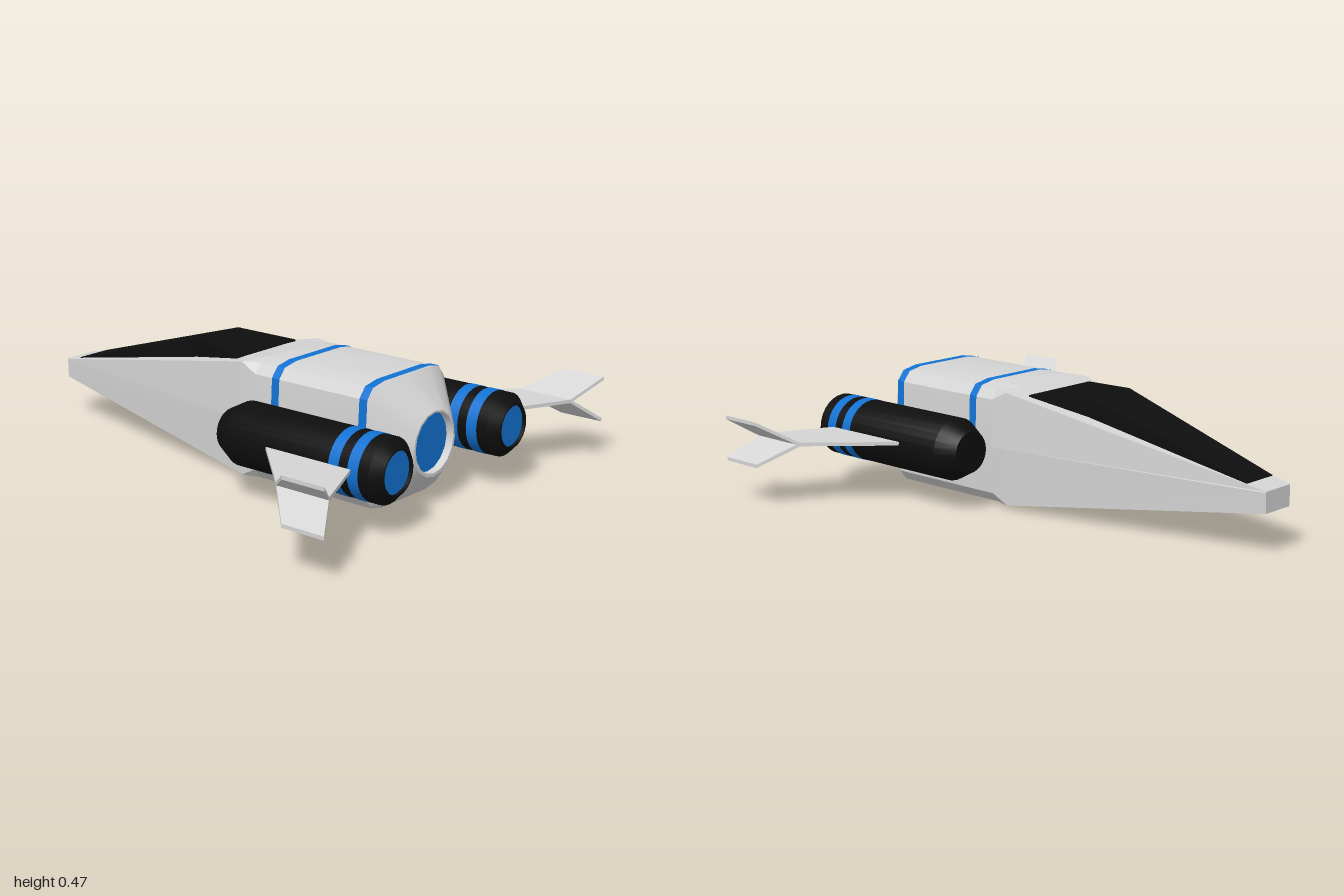
import * as THREE from 'three';
import { toCreasedNormals } from 'three/addons/utils/BufferGeometryUtils.js';

const paint = (name, color) => Object.assign(new THREE.MeshStandardMaterial({ color }), { name });

// Skin a row of cross-sections (arrays of Vector3); faces stay flat.
function loft(sections, { closed = true, capStart = false, capEnd = false, flip = false } = {}) {
  const pos = [];
  const tri = (a, b, c) => {
    const area = b.clone().sub(a).cross(c.clone().sub(a)).length();
    if (area < 1e-7) return;
    for (const p of flip ? [a, c, b] : [a, b, c]) pos.push(p.x, p.y, p.z);
  };
  const n = sections[0].length;
  for (let s = 0; s < sections.length - 1; s++) {
    const a = sections[s], b = sections[s + 1];
    for (let i = 0; i < (closed ? n : n - 1); i++) {
      const j = (i + 1) % n;
      tri(a[i], a[j], b[i]);
      tri(a[j], b[j], b[i]);
    }
  }
  const first = sections[0], last = sections[sections.length - 1];
  for (let i = 1; i < n - 1; i++) {
    if (capStart) tri(first[0], first[i + 1], first[i]);
    if (capEnd) tri(last[0], last[i], last[i + 1]);
  }
  const g = new THREE.BufferGeometry();
  g.setAttribute('position', new THREE.Float32BufferAttribute(pos, 3));
  g.computeVertexNormals();
  return g;
}

// Half profile [z, y] from top centre to bottom centre, mirrored into a loop at x.
function ring(x, half) {
  const other = half.slice(1, -1).reverse().map(([z, y]) => [-z, y]);
  return [...half, ...other].map(([z, y]) => new THREE.Vector3(x, y, z));
}
const circle = (r, cy) => Array.from({ length: 9 }, (_, i) => {
  const a = (i * Math.PI) / 8;
  return [r * Math.sin(a), cy + r * Math.cos(a)];
});

export function createModel() {
  const model = new THREE.Group();
  const grey = paint('light grey hull', 0xd4d4d4);
  const black = paint('black', 0x0e0e0e);
  const blue = paint('blue', 0x1272d2);
  const add = (name, geometry, material, parent = model) => {
    const m = new THREE.Mesh(geometry, material);
    m.name = name;
    parent.add(m);
    return m;
  };

  // Hull profiles
  const nose = [[0, 0.24], [0.04, 0.24], [0.07, 0.24], [0.07, 0.24], [0.072, 0.236],
    [0.07, 0.16], [0.07, 0.16], [0.04, 0.16], [0, 0.16]];
  const square = [[0, 0.458], [0.13, 0.458], [0.222, 0.455], [0.222, 0.455], [0.232, 0.238],
    [0.222, 0.016], [0.222, 0.016], [0.13, 0.013], [0, 0.013]];
  const round = [[0, 0.47], [0.13, 0.47], [0.195, 0.458], [0.226, 0.42], [0.235, 0.237],
    [0.226, 0.052], [0.195, 0.013], [0.13, 0], [0, 0]];

  add('noseHull', loft([ring(-1, nose), ring(0.1, square), ring(0.17, round)], { capStart: true }), grey);
  add('rearHull', toCreasedNormals(loft([
    ring(0.17, round), ring(0.69, round), ring(0.82, circle(0.124, 0.235)),
    ring(0.82, circle(0.114, 0.238)), ring(0.785, circle(0.114, 0.238)),
  ]), 0.6), grey);

  // Main exhaust, set back inside its rim
  const exhaust = add('mainExhaust', new THREE.CircleGeometry(0.115, 32).rotateY(Math.PI / 2), blue);
  exhaust.position.set(0.79, 0.238, 0);

  // Blue bands over the upper half of the hull
  const upper = round.slice(0, 5);
  const arch = [...upper.slice(1).reverse().map(([z, y]) => [-z, y]), ...upper];
  for (const [x0, x1] of [[0.252, 0.287], [0.655, 0.69]]) {
    const strip = (x) => arch.map(([z, y]) => new THREE.Vector3(x, 0.235 + (y - 0.235) * 1.01, z * 1.01));
    add('hullBand', toCreasedNormals(loft([strip(x0), strip(x1)], { closed: false }), 0.6), blue);
  }

  // Cockpit canopy: long windscreen, ridge, short rear slope
  const canopy = [[-0.92, 0.075, 0.245, 0.259], [-0.22, 0.118, 0.385, 0.466], [0.03, 0.17, 0.425, 0.449]]
    .map(([x, w, y0, y1]) => ring(x, [[0, y1], [w, y1], [w, y0], [0, y0]]));
  add('canopy', loft(canopy, { capStart: true, capEnd: true }), black);

  // Surface of revolution along x from [x, radius] points
  const spin = (pts) => toCreasedNormals(
    new THREE.LatheGeometry(pts.map(([x, r]) => new THREE.Vector2(r, x)), 28).rotateZ(-Math.PI / 2), 0.5);

  // Wing section at z: a thin slice from leading to trailing edge
  const slice = (side, z, x0, x1, y) => {
    const t = 0.007;
    return [[x0, y - t], [x1, y - t], [x1, y + t], [x0, y + t]]
      .map(([x, yy]) => new THREE.Vector3(x, yy, side * z));
  };

  for (const side of [1, -1]) {
    const word = side > 0 ? 'left' : 'right';

    // Engine pod with bands and exhaust
    const pod = new THREE.Group();
    pod.name = word + 'Engine';
    pod.position.set(0, 0.238, side * 0.35);
    model.add(pod);
    add('engineBody', spin([[0.162, 0], [0.162, 0.08], [0.24, 0.121], [0.885, 0.121],
      [0.922, 0.084], [0.922, 0.079], [0.9, 0.079]]), black, pod);
    for (const [x0, x1] of [[0.712, 0.756], [0.795, 0.84]])
      add('engineBand', spin([[x0, 0.12], [x0, 0.1225], [x1, 0.1225], [x1, 0.12]]), blue, pod);
    const glow = add('engineExhaust', new THREE.CircleGeometry(0.08, 28).rotateY(Math.PI / 2), blue, pod);
    glow.position.x = 0.908;

    // Swept wing that forks into an upper and a lower tip fin
    const opts = { capStart: true, capEnd: true, flip: side < 0 };
    const tipRoot = slice(side, 0.73, 0.7, 0.928, 0.249);
    add(word + 'Wing', loft([slice(side, 0.44, 0.4, 0.795, 0.249), tipRoot], opts), grey);
    for (const [name, y] of [['UpperFin', 0.329], ['LowerFin', 0.164]])
      add(word + name, loft([tipRoot, slice(side, 0.845, 0.822, 1, y)], opts), grey);
  }
  return model;
}
